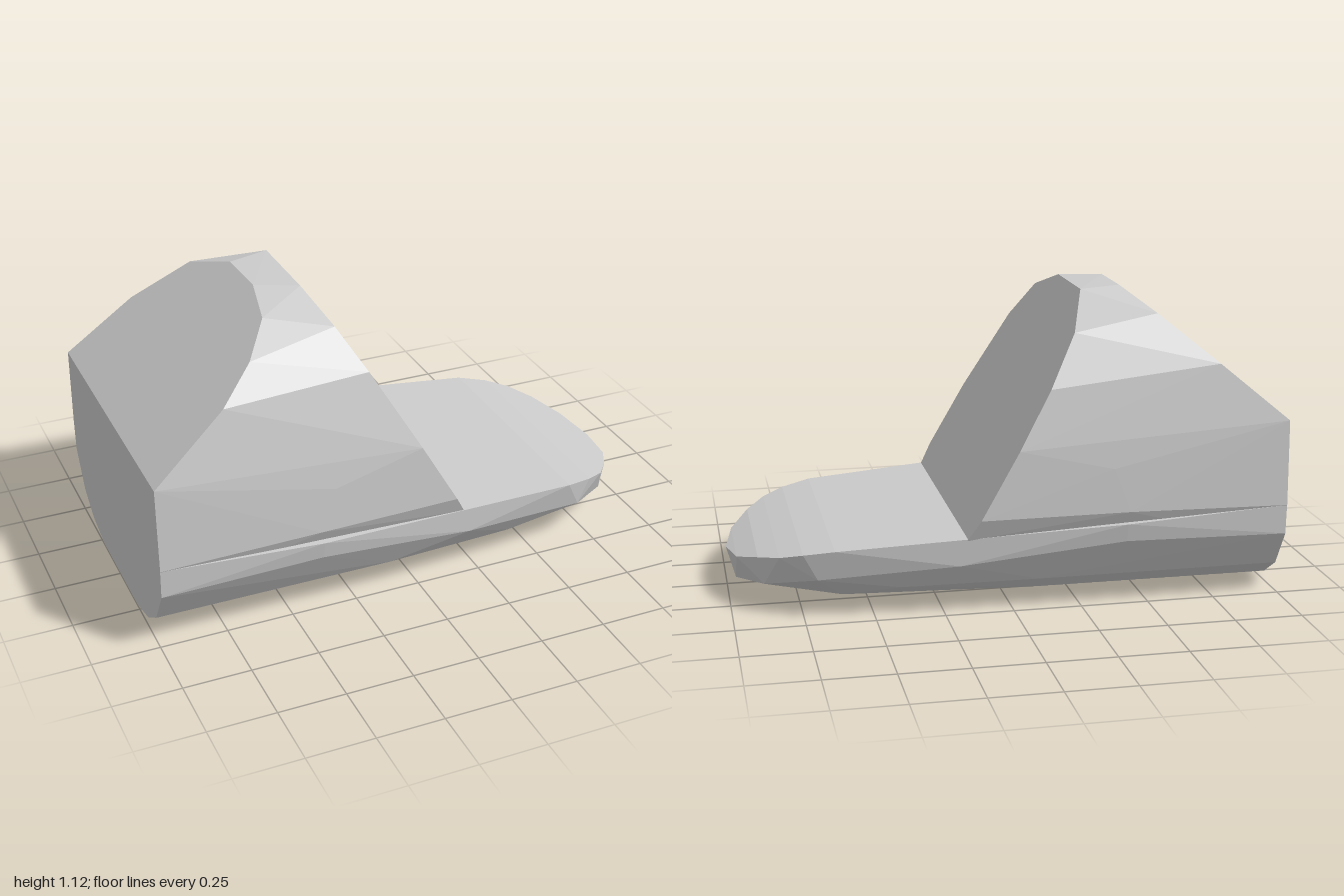
import * as THREE from 'three';
import { ConvexGeometry } from 'three/addons/geometries/ConvexGeometry.js';

const V = (x, y, z) => new THREE.Vector3(x, y, z);

// Faceted convex solid wrapped around a set of points
function facetedSolid(name, points) {
  const material = new THREE.MeshStandardMaterial({ color: 0xcccccc, flatShading: true });
  const mesh = new THREE.Mesh(new ConvexGeometry(points), material);
  mesh.name = name;
  return mesh;
}

// Mirror [x, y, z] points across z = 0
const mirrored = (list) => list.flatMap(([x, y, z]) => (z ? [V(x, y, z), V(x, y, -z)] : [V(x, y, z)]));

export function createModel() {
  const model = new THREE.Group();
  model.name = 'wedgeShell';

  // Cabin: flat back wall, sloped rear roof and sloped front face
  const rearY = (x) => 0.675 + (x + 1) * 0.833;
  const frontY = (x) => 0.285 + (0.175 - x) * 1.737;
  const rearEdge = [
    [-0.46, 0.07], [-0.5, 0.27], [-0.6, 0.41], [-0.73, 0.5], [-1, 0.553],
    [-0.465, -0.16], [-0.55, -0.375], [-0.75, -0.505], [-1, -0.555],
  ];
  const frontEdge = [
    [-0.305, 0.13], [-0.265, 0.35], [-0.185, 0.465], [-0.01, 0.54], [0.13, 0.545], [0.175, 0.515],
    [-0.305, -0.21], [-0.235, -0.41], [-0.13, -0.5], [-0.01, -0.54], [0.13, -0.55], [0.175, -0.52],
  ];
  model.add(facetedSolid('cabin', [
    ...rearEdge.map(([x, z]) => V(x, rearY(x), z)),
    ...frontEdge.map(([x, z]) => V(x, frontY(x), z)),
    ...mirrored([
      [-1, 0.36, 0.563], [-0.41, 0.37, 0.566], [-0.35, 0.53, 0.557],
      [-1, 0.2, 0.5], [0.1, 0.2, 0.45],
    ]),
  ]));

  // Base: rounded underside, flat deck, nose bending down to a blunt rim
  model.add(facetedSolid('base', mirrored([
    // rear section
    [-1, 0.36, 0.562], [-1, 0.25, 0.557], [-1, 0.11, 0.47], [-1, 0.04, 0.36], [-1, 0.006, 0.22],
    // widest section
    [-0.4, 0.326, 0.572], [-0.4, 0.26, 0.56], [-0.1, 0.11, 0.475], [-0.1, 0.04, 0.36], [-0.1, 0.003, 0.2],
    // deck edge
    [0.175, 0.285, 0.518], [0.2, 0.19, 0.515], [0.64, 0.26, 0.477],
    [0.75, 0.242, 0.44], [0.83, 0.222, 0.39], [0.9, 0.2, 0.3], [0.97, 0.166, 0.175], [1, 0.15, 0],
    // lower nose rim
    [0.7, 0.148, 0.445], [0.88, 0.098, 0.3], [0.97, 0.057, 0.085],
    // nose underside
    [0.4, 0.1, 0.44], [0.6, 0.045, 0.32], [0.6, 0.012, 0.15], [0.87, 0.026, 0.06],
  ])));

  return model;
}
